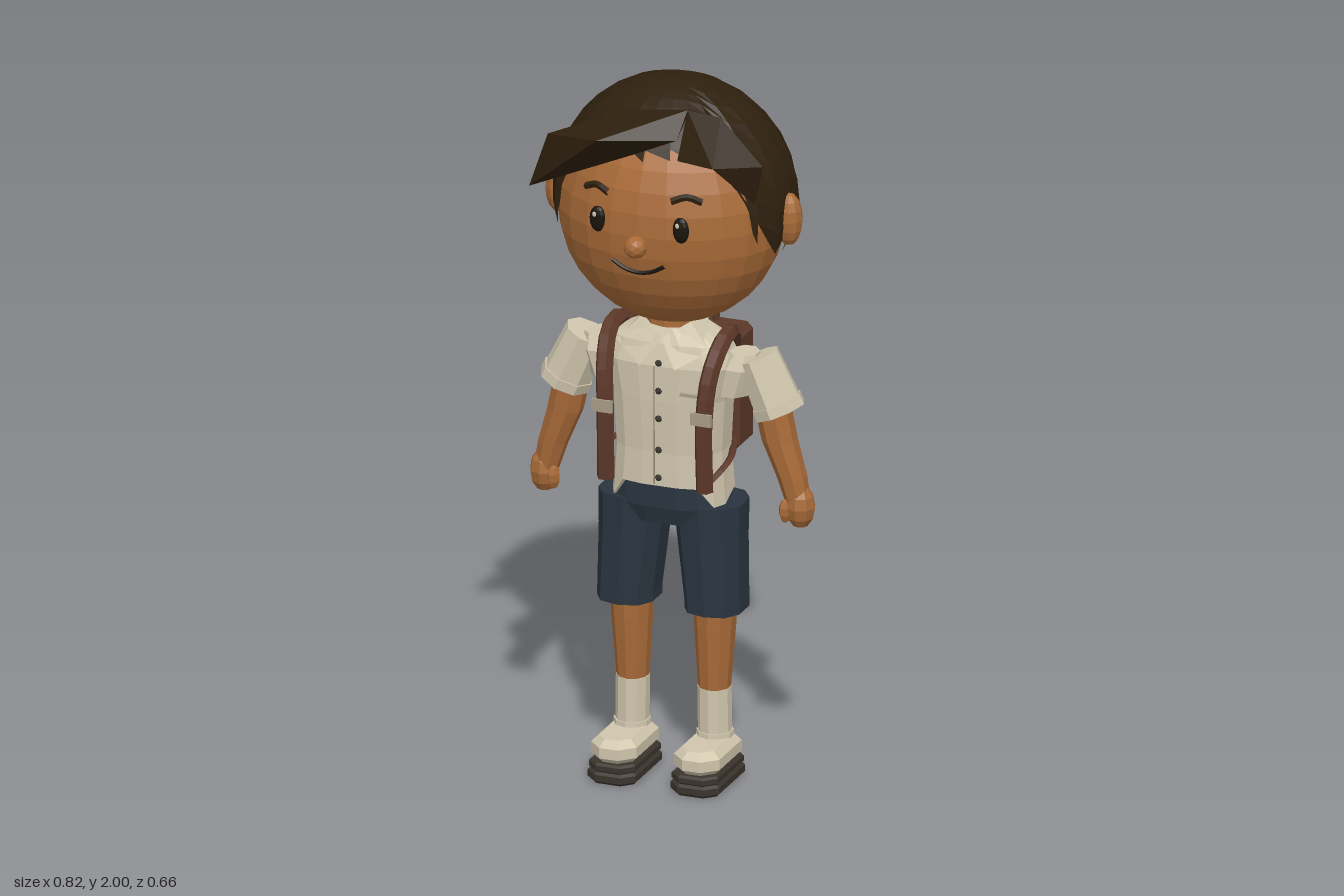
import * as THREE from 'three';

const mat = (name, color) => new THREE.MeshStandardMaterial({ name, color, flatShading: true, side: THREE.DoubleSide });
const M = {
  skin: mat('skin', 0xa86a38), hair: mat('hair', 0x2e200e), cream: mat('cream cloth', 0xd0c6ad),
  navy: mat('navy cloth', 0x2a343f), bag: mat('brown leather', 0x5c3829), flap: mat('light leather', 0x75492f),
  sole: mat('sole rubber', 0x3a342c), ink: mat('dark ink', 0x1a130c), seam: mat('seam', 0xa79d86),
};
const V = (x, y, z) => new THREE.Vector3(x, y, z);

// Capped skin over stacked cross-sections [y, cx, cz, rx, rz]; power < 1 makes them boxier
function loft(rows, n = 12, power = 1) {
  const pos = [], idx = [];
  const soft = v => Math.sign(v) * Math.abs(v) ** power;
  for (const [y, cx, cz, rx, rz] of rows)
    for (let i = 0; i < n; i++) {
      const a = ((i + 0.5) / n) * Math.PI * 2;
      pos.push(cx + rx * soft(Math.cos(a)), y, cz + rz * soft(Math.sin(a)));
    }
  for (let r = 0; r < rows.length - 1; r++)
    for (let i = 0; i < n; i++) {
      const a = r * n + i, b = r * n + (i + 1) % n;
      idx.push(a, a + n, b, b, a + n, b + n);
    }
  const top = (rows.length - 1) * n, c = rows.length * n;
  for (const k of [0, rows.length - 1]) pos.push(rows[k][1], rows[k][0], rows[k][2]);
  for (let i = 0; i < n; i++) {
    const j = (i + 1) % n;
    idx.push(c, i, j, c + 1, top + j, top + i);
  }
  const g = new THREE.BufferGeometry();
  g.setAttribute('position', new THREE.Float32BufferAttribute(pos, 3));
  g.setIndex(idx);
  g.computeVertexNormals();
  return g;
}

// Box with bevelled edges and optionally cut corners in its outline, centred
function chamferBox(w, h, d, c, cut = 0.001) {
  const x = w / 2 - c, y = h / 2 - c, k = cut;
  const s = new THREE.Shape([[x, -y + k], [x, y - k], [x - k, y], [-x + k, y], [-x, y - k], [-x, -y + k], [-x + k, -y], [x - k, -y]]
    .map(p => new THREE.Vector2(...p)));
  const g = new THREE.ExtrudeGeometry(s, { depth: d - 2 * c, bevelSize: c, bevelThickness: c, bevelSegments: 1 });
  return g.translate(0, 0, c - d / 2);
}

const tube = (pts, r, seg = 10, sides = 6) =>
  new THREE.TubeGeometry(new THREE.CatmullRomCurve3(pts), seg, r, sides);
const ball = (rx, ry, rz, w = 10, h = 8) => new THREE.SphereGeometry(1, w, h).scale(rx, ry, rz);

// Triangles over a short list of corner points
function facets(points, faces) {
  const g = new THREE.BufferGeometry();
  g.setAttribute('position', new THREE.Float32BufferAttribute(points.flat(), 3));
  g.setIndex(faces.flat());
  g.computeVertexNormals();
  return g;
}

const faceZ = (x, y) => -0.02 + 0.255 * Math.sqrt(1 - (x / 0.315) ** 2 - ((y - 1.63) / 0.32) ** 2);

// Hair cap whose lower edge follows a hairline, one height per 15 degrees from front to back
function hairCap() {
  const line = [1.83, 1.84, 1.83, 1.79, 1.6, 1.55, 1.57, 1.52, 1.48, 1.48, 1.48, 1.48, 1.48];
  const g = new THREE.SphereGeometry(1, 24, 10), p = g.attributes.position, uv = g.attributes.uv;
  for (let i = 0; i < p.count; i++) {
    const a = Math.round(uv.getX(i) * 24) / 24 * Math.PI * 2;
    const front = Math.sin(a), deg = Math.acos(THREE.MathUtils.clamp(front, -1, 1)) * 180 / Math.PI;
    const t = (1 - uv.getY(i)) * Math.acos((line[Math.round(deg / 15)] - 1.65) / 0.345);
    p.setXYZ(i, -Math.cos(a) * Math.sin(t) * 0.34, 1.65 + 0.345 * Math.cos(t), -0.05 + front * Math.sin(t) * 0.282);
  }
  g.computeVertexNormals();
  return g;
}

export function createModel() {
  const model = new THREE.Group();
  model.name = 'schoolchild';
  const add = (name, geo, material, x = 0, y = 0, z = 0) => {
    const m = new THREE.Mesh(geo, material);
    m.name = name;
    m.position.set(x, y, z);
    model.add(m);
    return m;
  };

  // Head and face
  add('head', ball(0.315, 0.32, 0.255, 24, 16), M.skin, 0, 1.63, -0.02);
  add('nose', new THREE.IcosahedronGeometry(0.032, 1), M.skin, 0, 1.605, 0.243);
  add('neck', loft([[1.26, 0, -0.03, 0.075, 0.07], [1.36, 0, -0.03, 0.07, 0.065]], 10), M.skin);
  add('mouth', tube([-0.075, -0.04, 0, 0.04, 0.075].map(x => {
    const y = 1.525 + 4.8 * x * x;
    return V(x, y, faceZ(x, y) + 0.001);
  }), 0.006, 12, 5), M.ink);

  // Hair with a swept fringe in two tufts
  add('hair', hairCap(), M.hair);
  add('fringeRight', facets([
    [-0.315, 1.73, 0.225], [-0.25, 1.9, 0.252], [-0.08, 1.93, 0.325], [0.12, 1.93, 0.245],
    [0.13, 2.0, 0.19], [0.11, 1.975, 0.125], [-0.06, 1.965, 0.165], [-0.03, 1.85, 0.2],
  ], [[0, 2, 1], [1, 2, 6], [2, 4, 6], [4, 5, 6], [2, 3, 4], [0, 7, 2], [7, 3, 2], [0, 1, 6], [0, 6, 7], [6, 5, 7], [7, 5, 3], [3, 5, 4]]), M.hair);
  add('fringeLeft', facets([
    [0.11, 1.975, 0.125], [0.13, 2.0, 0.19], [0.12, 1.87, 0.24], [0.24, 1.88, 0.285],
    [0.36, 1.88, 0.22], [0.325, 1.755, 0.19], [0.21, 1.975, 0.15], [0.2, 1.83, 0.17],
  ], [[1, 2, 3], [1, 3, 6], [3, 4, 6], [0, 1, 6], [3, 5, 4], [2, 7, 3], [7, 5, 3], [6, 4, 5], [6, 5, 7], [0, 6, 7], [0, 7, 2], [0, 2, 1]]), M.hair);

  // Shirt with an arched front hem, and the waistband under it
  const shirt = loft([[0.82, 0, -0.035, 0.165, 0.11], [0.95, 0, -0.035, 0.155, 0.108], [1.1, 0, -0.03, 0.165, 0.108],
    [1.2, 0, -0.025, 0.19, 0.102], [1.26, 0, -0.025, 0.165, 0.085], [1.3, 0, -0.03, 0.08, 0.07]], 16, 0.7);
  const sp = shirt.attributes.position;
  for (let i = 0; i < 16; i++) sp.setY(i, sp.getZ(i) < 0 ? 0.83 : Math.abs(sp.getX(i)) < 0.14 ? 0.855 : 0.8);
  sp.setXYZ(96, 0, 0.84, -0.035);
  sp.setXYZ(97, 0, 1.3, -0.03);
  shirt.computeVertexNormals();
  add('shirt', shirt, M.cream);
  add('waistband', loft([[0.74, 0, -0.035, 0.13, 0.09], [0.79, 0, -0.035, 0.16, 0.105], [0.86, 0, -0.035, 0.15, 0.104]], 16, 0.7), M.navy);
  add('placket', new THREE.BoxGeometry(0.004, 0.34, 0.006), M.seam, -0.014, 1.03, 0.075);
  for (const y of [0.88, 0.96, 1.05, 1.13, 1.21])
    add('button', ball(0.01, 0.01, 0.007, 6, 4), M.sole, 0, y, 0.077);
  add('shirtPocket', new THREE.BoxGeometry(0.07, 0.08, 0.006), M.cream, 0.1, 1.09, 0.077);
  add('pocketHem', new THREE.BoxGeometry(0.074, 0.008, 0.008), M.seam, 0.1, 1.13, 0.078);

  for (const s of [1, -1]) {
    // Ears, eyes and brows
    add('ear', ball(0.038, 0.075, 0.038), M.skin, s * 0.333, 1.635, -0.035);
    add('eye', ball(0.024, 0.037, 0.012, 12, 8), M.ink, s * 0.12, 1.66, faceZ(0.12, 1.66));
    add('eyeGlint', ball(0.006, 0.008, 0.003, 6, 4), M.cream, s * 0.12 - 0.006, 1.676, faceZ(0.12, 1.66) + 0.012);
    add('brow', tube([[0.09, 1.738], [0.13, 1.75], [0.168, 1.735]]
      .map(([x, y]) => V(s * x, y, faceZ(x, y) + 0.002)), 0.01, 6, 5), M.hair);

    // Collar flap
    add('collar', facets([[0, 1.275, 0.055], [s * 0.07, 1.32, 0.02], [s * 0.135, 1.25, 0.045], [s * 0.05, 1.2, 0.088], [s * 0.09, 1.31, -0.06]],
      [[0, 3, 1], [1, 3, 2], [1, 2, 4]]), M.cream);

    // Sleeve, arm and hand
    const sleeve = add('sleeve', new THREE.CylinderGeometry(0.062, 0.07, 0.16, 8), M.cream, s * 0.278, 1.158, -0.025);
    sleeve.rotation.z = s * 0.42;
    const cuff = add('sleeveCuff', new THREE.CylinderGeometry(0.073, 0.073, 0.03, 8), M.cream, s * 0.307, 1.094, -0.025);
    cuff.rotation.z = s * 0.42;
    add('shoulder', loft([[1.12, s * 0.18, -0.025, 0.05, 0.06], [1.2, s * 0.2, -0.025, 0.06, 0.065], [1.24, s * 0.21, -0.025, 0.04, 0.045]], 8), M.cream);
    add('arm', loft([[0.82, s * 0.365, -0.025, 0.034, 0.034], [0.9, s * 0.345, -0.025, 0.042, 0.04],
      [1.0, s * 0.31, -0.025, 0.05, 0.046], [1.12, s * 0.285, -0.025, 0.05, 0.05]], 8), M.skin);
    add('hand', ball(0.042, 0.062, 0.042, 8, 6), M.skin, s * 0.37, 0.815, -0.025);
    add('thumb', ball(0.018, 0.034, 0.02, 6, 5), M.skin, s * 0.335, 0.805, -0.002);

    // Shorts leg, leg and sock
    add('shortsLeg', loft([[0.49, s * 0.126, -0.03, 0.083, 0.092], [0.515, s * 0.126, -0.03, 0.083, 0.092],
      [0.7, s * 0.113, -0.033, 0.093, 0.093], [0.8, s * 0.108, -0.035, 0.1, 0.095]], 10, 0.8), M.navy);
    add('leg', loft([[0.24, s * 0.118, -0.033, 0.043, 0.045], [0.43, s * 0.12, -0.033, 0.056, 0.058], [0.52, s * 0.12, -0.033, 0.062, 0.062]], 10), M.skin);
    add('sock', loft([[0.1, s * 0.12, -0.033, 0.046, 0.048], [0.26, s * 0.118, -0.033, 0.046, 0.048]], 10), M.cream);
    add('sockRoll', loft([[0.11, s * 0.12, -0.033, 0.052, 0.054], [0.135, s * 0.12, -0.033, 0.05, 0.052]], 10), M.cream);

    // Shoe on a two-layer sole
    const layers = [['shoe', 0.132, 0.24, 0.07, 0.02, M.cream, 0.087], ['soleUpper', 0.134, 0.25, 0.026, 0.006, M.sole, 0.045],
      ['soleLower', 0.14, 0.255, 0.034, 0.008, M.sole, 0.017]];
    for (const [name, w, l, h, c, m, y] of layers)
      add(name, chamferBox(w, l, h, c, 0.028).rotateX(-Math.PI / 2), m, s * 0.12, y, 0.02);

    // Backpack strap with its adjuster
    add('strap', tube([V(s * 0.143, 0.87, 0.1), V(s * 0.143, 1.08, 0.105), V(s * 0.152, 1.2, 0.085),
      V(s * 0.162, 1.275, 0.02), V(s * 0.155, 1.275, -0.06), V(s * 0.13, 1.21, -0.13)], 0.025, 14, 6), M.bag);
    add('lowerStrap', tube([V(s * 0.143, 0.88, 0.095), V(s * 0.175, 0.93, 0.0), V(s * 0.13, 0.95, -0.14)], 0.01, 8, 4), M.bag);
    add('adjuster', new THREE.BoxGeometry(0.06, 0.035, 0.008), M.seam, s * 0.143, 1.085, 0.127);
  }

  // Backpack on the back with pocket, flap and carry handle
  add('backpack', chamferBox(0.31, 0.34, 0.15, 0.028), M.bag, 0, 1.075, -0.172);
  add('backpackPocket', chamferBox(0.21, 0.15, 0.06, 0.014), M.bag, 0, 1.03, -0.257);
  add('pocketFlap', chamferBox(0.216, 0.045, 0.066, 0.012), M.flap, 0, 1.088, -0.257);
  add('pocketTrim', new THREE.BoxGeometry(0.17, 0.008, 0.008), M.seam, 0, 1.058, -0.287);
  add('handle', tube([V(-0.055, 1.23, -0.2), V(-0.052, 1.31, -0.2), V(0.052, 1.31, -0.2), V(0.055, 1.23, -0.2)], 0.011, 14, 5), M.bag);

  return model;
}
